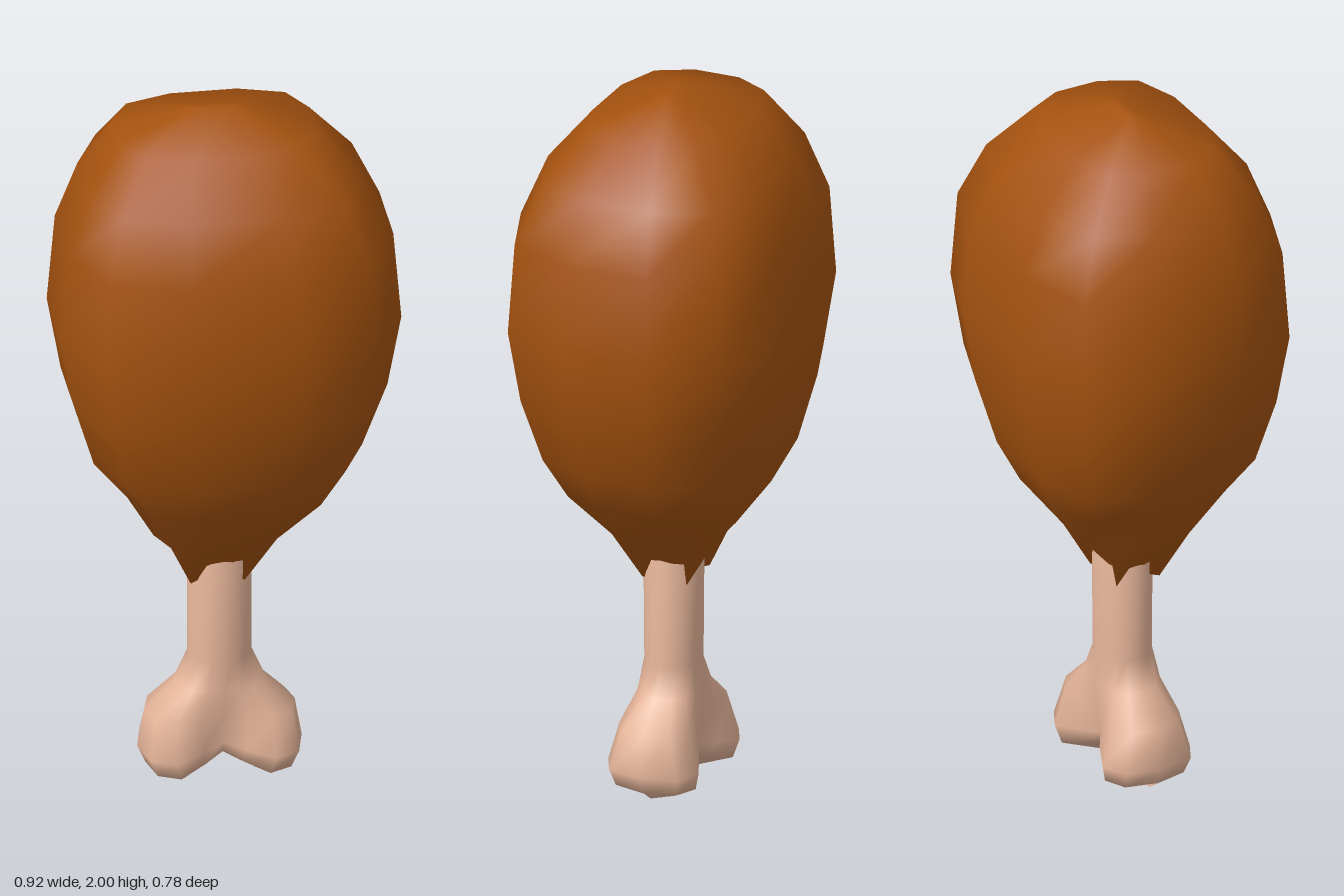
import * as THREE from 'three';
import { mergeVertices } from 'three/addons/utils/BufferGeometryUtils.js';

// Smooth skin through closed rings of [x, y, z], listed from bottom to top
function loft(rings, capBottom, capTop) {
  const n = rings[0].length;
  const points = rings.flat();
  const index = [];
  for (let i = 0; i < rings.length - 1; i++) {
    for (let j = 0; j < n; j++) {
      const a = i * n + j, b = i * n + (j + 1) % n;
      index.push(a, a + n, b, b, a + n, b + n);
    }
  }
  const cap = (row, up) => {
    const centre = [0, 1, 2].map((k) => rings[row].reduce((s, p) => s + p[k], 0) / n);
    const c = points.push(centre) - 1;
    for (let j = 0; j < n; j++) {
      const a = row * n + j, b = row * n + (j + 1) % n;
      index.push(c, up ? b : a, up ? a : b);
    }
  };
  if (capBottom) cap(0, false);
  if (capTop) cap(rings.length - 1, true);
  const g = new THREE.BufferGeometry();
  g.setAttribute('position', new THREE.Float32BufferAttribute(points.flat(), 3));
  g.setIndex(index);
  const merged = mergeVertices(g, 1e-4);
  merged.computeVertexNormals();
  return merged;
}

// Complete a closed outline from its +x +z quarter
function mirrorQuarter(quarter) {
  const half = [...quarter, ...quarter.slice().reverse().filter(([x]) => x > 0).map(([x, z]) => [-x, z])];
  const back = half.slice().reverse().filter(([, z]) => z > 0).map(([x, z]) => [x, -z]);
  return [...half, ...back];
}

function meatGeometry() {
  const body = mirrorQuarter([[1, 0.32], [0.81, 0.8], [0.34, 1]]);
  // the lower hem has four pointed corners with hollows between them
  const hem = mirrorQuarter([[0.35, 0.25], [1, 1], [0.25, 0.35]]);
  // y, half width, half depth, centre x
  const rows = [
    [0.60, 0.073, 0.065, -0.027],
    [0.745, 0.178, 0.15, -0.02],
    [0.88, 0.278, 0.25, 0.005],
    [1.0, 0.362, 0.31, -0.005],
    [1.185, 0.423, 0.36, 0],
    [1.39, 0.459, 0.39, 0],
    [1.64, 0.438, 0.375, 0],
    [1.805, 0.37, 0.31, -0.01],
    [1.94, 0.265, 0.2, -0.025],
    [2.0, 0.065, 0.015, -0.025],
  ];
  return loft(rows.map(([y, w, d, cx], i) =>
    (i === 0 ? hem : body).map(([x, z]) => [cx + x * w, y, z * d])), true, true);
}

function boneGeometry() {
  const round = mirrorQuarter([[1, 0], [0.92, 0.38], [0.7, 0.7], [0.38, 0.92], [0, 1]]);
  const lobed = mirrorQuarter([[1, 0], [0.9, 0.75], [0.6, 1], [0.25, 0.75], [0, 0.5]]);
  // y, half width, half depth, lobe amount, lift at the middle groove
  const rows = [
    [0.004, 0.15, 0, 1, 0.06],
    [0.04, 0.2, 0.118, 1, 0.045],
    [0.09, 0.222, 0.132, 1, 0.025],
    [0.20, 0.203, 0.113, 0.65, 0],
    [0.28, 0.122, 0.094, 0.2, 0],
    [0.36, 0.087, 0.078, 0, 0],
    [0.80, 0.087, 0.082, 0, 0],
  ];
  return loft(rows.map(([y, w, d, t, lift]) => round.map(([rx, rz], j) => {
    const x = THREE.MathUtils.lerp(rx, lobed[j][0], t);
    const z = THREE.MathUtils.lerp(rz, lobed[j][1], t);
    const rise = lift * Math.max(0, 1 - Math.abs(x) / 0.6);
    return [-0.0125 + x * w, y + rise, z * d];
  })), false, true);
}

export function createModel() {
  const group = new THREE.Group();
  group.name = 'drumstick';
  const roastBrown = new THREE.MeshStandardMaterial({ color: 0xa5520f });
  roastBrown.name = 'roast brown';
  const bonePink = new THREE.MeshStandardMaterial({ color: 0xe6b59a });
  bonePink.name = 'pale bone';

  const meat = new THREE.Mesh(meatGeometry(), roastBrown);
  meat.name = 'meat';
  const bone = new THREE.Mesh(boneGeometry(), bonePink);
  bone.name = 'bone';
  group.add(meat, bone);
  return group;
}
